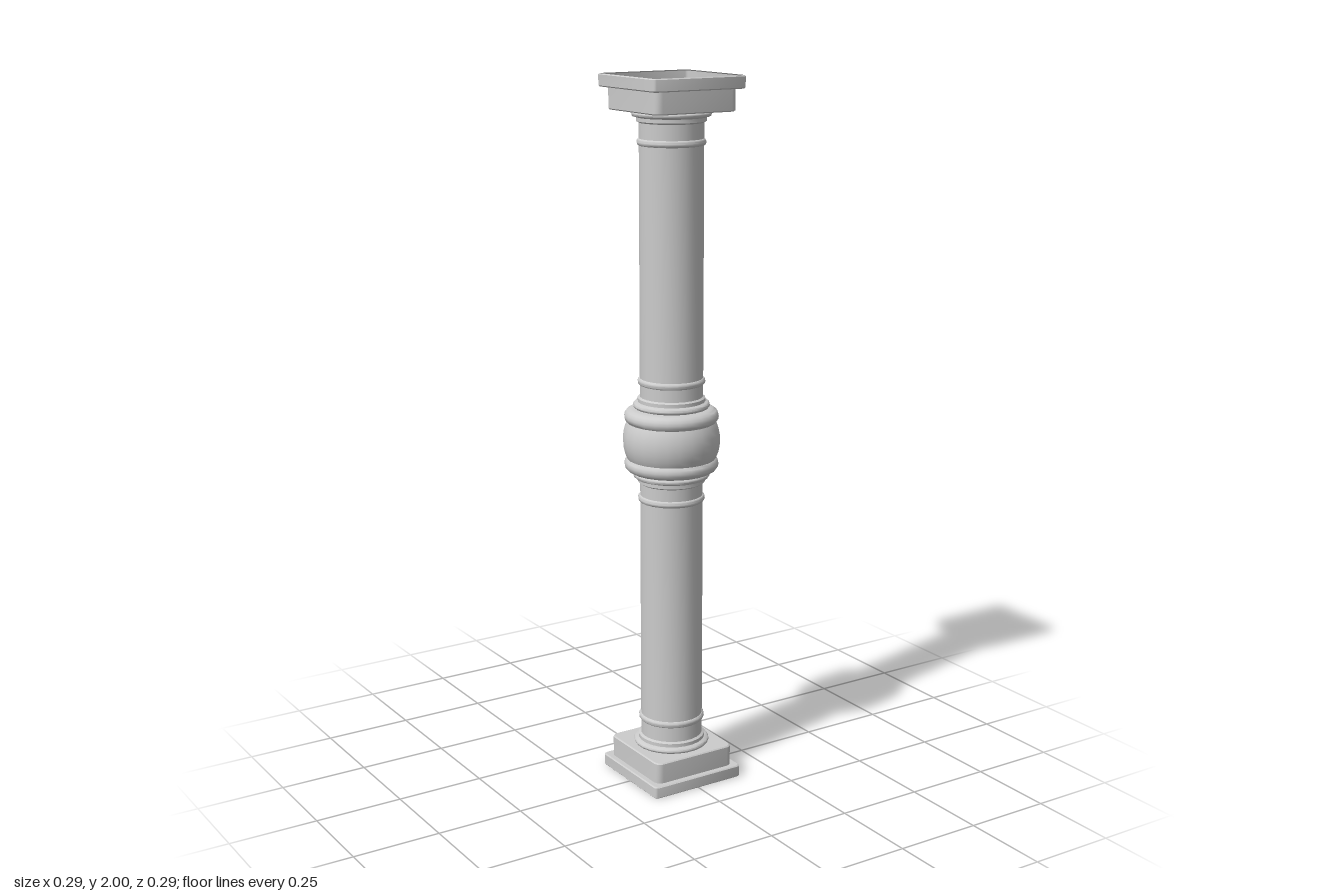
import * as THREE from 'three';
import { toCreasedNormals } from 'three/addons/utils/BufferGeometryUtils.js';

const material = new THREE.MeshStandardMaterial({ color: 0xcccccc, side: THREE.DoubleSide });
const SIDES = 24;

function mesh(name, geometry) {
  const m = new THREE.Mesh(toCreasedNormals(geometry, 0.6), material);
  m.name = name;
  return m;
}

// Turned part from [radius, height] pairs listed upwards
function turned(name, profile) {
  const points = profile.map(([r, y]) => new THREE.Vector2(r, y));
  const geometry = new THREE.LatheGeometry(points, SIDES);
  geometry.rotateY(Math.PI / SIDES);
  return mesh(name, geometry);
}

// Half-round moulding: points of an arc bulging outwards between two heights
function bead(inner, outer, y0, y1, steps = 6) {
  const arc = [];
  for (let i = 0; i <= steps; i++) {
    const a = -Math.PI / 2 + (Math.PI * i) / steps;
    arc.push([inner + (outer - inner) * Math.cos(a), (y0 + y1) / 2 + ((y1 - y0) / 2) * Math.sin(a)]);
  }
  return arc;
}

// Shell joining rounded-square sections [half width, corner radius, height]
function squareShell(name, sections) {
  const steps = 4, count = 4 * (steps + 1);
  const positions = [], index = [];
  for (const [half, radius, y] of sections) {
    for (let c = 0; c < 4; c++) {
      const mid = Math.PI / 4 + (c * Math.PI) / 2;
      const cx = Math.sign(Math.cos(mid)) * (half - radius);
      const cz = Math.sign(Math.sin(mid)) * (half - radius);
      for (let i = 0; i <= steps; i++) {
        const a = (c + i / steps) * Math.PI / 2;
        positions.push(cx + radius * Math.cos(a), y, cz + radius * Math.sin(a));
      }
    }
  }
  for (let s = 0; s < sections.length - 1; s++) {
    for (let i = 0; i < count; i++) {
      const a = s * count + i, b = s * count + ((i + 1) % count);
      index.push(a, a + count, b, b, a + count, b + count);
    }
  }
  const geometry = new THREE.BufferGeometry();
  geometry.setAttribute('position', new THREE.Float32BufferAttribute(positions, 3));
  geometry.setIndex(index);
  return mesh(name, geometry);
}

// Plinth and shaft, from the ground up to the central ball
function halfColumn(name) {
  const half = new THREE.Group();
  half.name = name;

  // Hollow stepped plinth with a square opening in its inner face
  half.add(squareShell('plinth', [
    [0.142, 0.01, 0], [0.145, 0.012, 0.003], [0.145, 0.012, 0.032], [0.142, 0.012, 0.035],
    [0.128, 0.02, 0.035], [0.128, 0.02, 0.092], [0.125, 0.02, 0.095], [0.073, 0.014, 0.095],
  ]));

  // Shaft, recessed at its hidden end
  half.add(turned('shaft', [[0, 0.115], [0.088, 0.115], [0.088, 0.9], [0, 0.9]]));

  // Stepped collars at both ends of the shaft
  half.add(turned('plinthCollar', [
    [0.0915, 0.115], [0.0915, 0.096], ...bead(0.102, 0.108, 0.096, 0.11),
    [0.095, 0.112], [0.095, 0.122], [0.088, 0.126],
  ]));
  half.add(turned('ballCollar', [
    [0.088, 0.876], [0.094, 0.88], [0.094, 0.89], ...bead(0.1, 0.107, 0.892, 0.908), [0.088, 0.912],
  ]));

  // Thin bands around the shaft
  half.add(turned('lowerBand', bead(0.087, 0.094, 0.168, 0.187)));
  half.add(turned('upperBand', bead(0.087, 0.094, 0.823, 0.842)));

  // Thick ring overlapping the ball
  half.add(turned('ballRing', [[0.088, 0.908], ...bead(0.108, 0.132, 0.91, 0.954, 8)]));
  return half;
}

export function createModel() {
  const column = new THREE.Group();
  column.name = 'column';

  column.add(halfColumn('lowerHalf'));
  const upper = halfColumn('upperHalf');
  upper.rotation.x = Math.PI;
  upper.position.y = 2;
  column.add(upper);

  // Bulging ball in the middle
  const ball = [];
  for (let i = 0; i <= 12; i++) {
    const a = -1 + i / 6;
    ball.push([0.136 * Math.cos(a * 0.85), 1 + 0.11 * Math.sin(a)]);
  }
  column.add(turned('ball', ball));
  return column;
}
